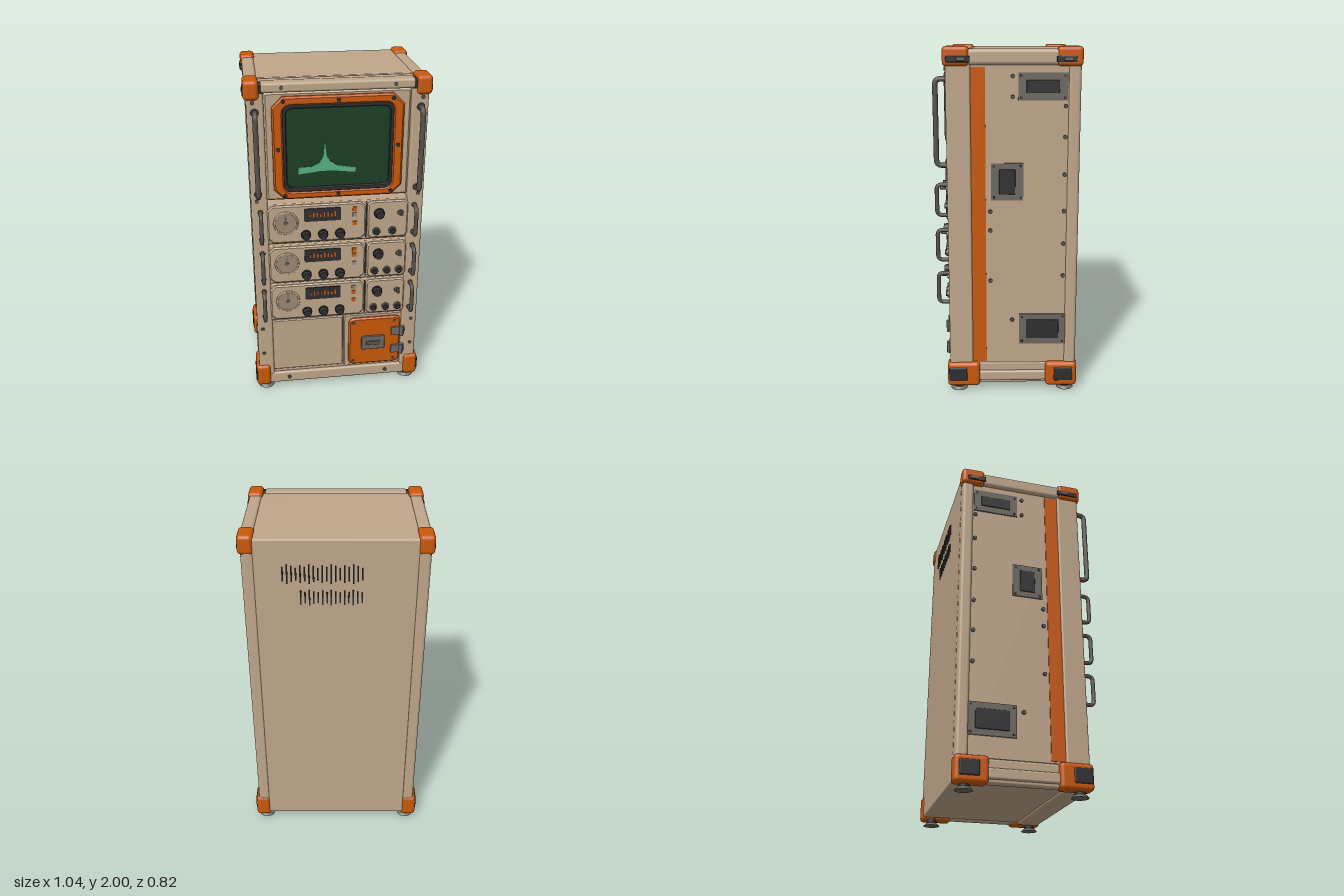
import * as THREE from 'three';
import { RoundedBoxGeometry } from 'three/addons/geometries/RoundedBoxGeometry.js';

const mat = (name, color) => {
  const m = new THREE.MeshStandardMaterial({ color });
  m.name = name;
  return m;
};

export function createModel() {
  const beige = mat('beige paint', 0xbfa68a), orange = mat('orange paint', 0xc9590a);
  const dark = mat('dark rubber', 0x2e2e30), grey = mat('grey metal', 0x6c6761);
  const steel = mat('handle metal', 0x57524d), tan = mat('dial tan', 0x9c8871);
  const green = mat('screen green', 0x1b3d24), glow = mat('trace green', 0x58b184);

  const root = new THREE.Group();
  const add = (name, geo, m, parent = root) => {
    const mesh = new THREE.Mesh(geo, m);
    mesh.name = name;
    parent.add(mesh);
    return mesh;
  };
  // box given by its limits, optionally with rounded edges
  const box = (name, m, x0, x1, y0, y1, z0, z1, r = 0, parent = root) => {
    const s = [Math.abs(x1 - x0), y1 - y0, z1 - z0];
    const g = r ? new RoundedBoxGeometry(...s, 3, r) : new THREE.BoxGeometry(...s);
    g.translate((x0 + x1) / 2, (y0 + y1) / 2, (z0 + z1) / 2);
    return add(name, g, m, parent);
  };
  // rectangle with rounded or chamfered corners
  const rect = (x0, x1, y0, y1, r, chamfer = false, s = new THREE.Shape()) => {
    const turn = (cx, cy, x, y) => (chamfer ? s.lineTo(x, y) : s.quadraticCurveTo(cx, cy, x, y));
    s.moveTo(x0 + r, y0);
    s.lineTo(x1 - r, y0); turn(x1, y0, x1, y0 + r);
    s.lineTo(x1, y1 - r); turn(x1, y1, x1 - r, y1);
    s.lineTo(x0 + r, y1); turn(x0, y1, x0, y1 - r);
    s.lineTo(x0, y0 + r); turn(x0, y0, x0 + r, y0);
    return s;
  };
  const plate = (name, m, shape, z0, z1, bevel = 0, parent = root) => {
    const g = new THREE.ExtrudeGeometry(shape, {
      depth: z1 - z0 - bevel, bevelEnabled: bevel > 0, bevelThickness: bevel,
      bevelSize: bevel, bevelOffset: -bevel, bevelSegments: 1, curveSegments: 6,
    });
    return add(name, g.translate(0, 0, z0), m, parent);
  };
  // disc or peg facing the front
  const peg = (name, m, x, y, z0, z1, r0, r1 = r0, n = 16, parent = root) =>
    add(name, new THREE.CylinderGeometry(r1, r0, z1 - z0, n).rotateX(Math.PI / 2)
      .translate(x, y, (z0 + z1) / 2), m, parent);
  const knob = (x, y, r, parent) => {
    peg('knobSkirt', dark, x, y, 0.338, 0.35, r, r, 20, parent);
    peg('knob', dark, x, y, 0.35, 0.375, r * 0.9, r * 0.75, 12, parent);
  };
  const connector = (x, y, parent) => {
    peg('connector', grey, x, y, 0.338, 0.352, 0.024, 0.024, 12, parent);
    peg('connectorSocket', dark, x, y, 0.35, 0.362, 0.017, 0.015, 12, parent);
  };
  // bar handle standing off the front
  const handle = (x, y0, y1, z0, r, parent) => {
    const v = (y, z) => new THREE.Vector3(x, y, z), z1 = 0.408 - r, c = 0.03, p = new THREE.CurvePath();
    p.add(new THREE.LineCurve3(v(y0, z0), v(y0, z1 - c)));
    p.add(new THREE.QuadraticBezierCurve3(v(y0, z1 - c), v(y0, z1), v(y0 + c, z1)));
    p.add(new THREE.LineCurve3(v(y0 + c, z1), v(y1 - c, z1)));
    p.add(new THREE.QuadraticBezierCurve3(v(y1 - c, z1), v(y1, z1), v(y1, z1 - c)));
    p.add(new THREE.LineCurve3(v(y1, z1 - c), v(y1, z0)));
    add('handle', new THREE.TubeGeometry(p, 48, r, 10), steel, parent);
    for (const y of [y0, y1]) peg('handleBase', steel, x, y, z0, z0 + 0.012, r * 1.6, r * 1.4, 14, parent);
  };

  // cabinet shell
  box('cabinet', beige, -0.475, 0.475, 0.05, 1.965, -0.39, 0.24);
  box('topPanel', beige, -0.435, 0.435, 1.95, 1.982, -0.4, 0.205, 0.006);
  box('topFrontRail', beige, -0.435, 0.435, 1.92, 1.98, 0.2, 0.278, 0.02);
  box('topFrontBar', beige, -0.42, 0.42, 1.93, 1.985, 0.26, 0.342, 0.015);
  box('bottomFrontBar', beige, -0.435, 0.435, 0.035, 0.11, 0.2, 0.335, 0.012);
  box('sill', beige, -0.41, 0.41, 0.1, 0.135, 0.2, 0.315);
  box('backPanel', beige, -0.435, 0.435, 0.05, 1.978, -0.402, -0.38, 0.006);

  for (const s of [-1, 1]) {
    const side = new THREE.Group();
    side.name = s > 0 ? 'leftSide' : 'rightSide';
    root.add(side);
    const b = (name, m, x0, x1, ...rest) => box(name, m, Math.min(s * x0, s * x1), Math.max(s * x0, s * x1), ...rest, side);
    b('sidePanel', beige, 0.46, 0.484, 0.17, 1.9, -0.34, 0.29, 0);
    b('sideStripe', orange, 0.482, 0.489, 0.18, 1.89, 0.12, 0.285, 0);
    b('frontPillar', beige, 0.405, 0.498, 0.1, 1.95, 0.2, 0.335, 0.012);
    b('backPillar', beige, 0.425, 0.498, 0.1, 1.95, -0.402, -0.335, 0.018);
    b('topSideRail', beige, 0.43, 0.505, 1.9, 1.985, -0.36, 0.3, 0.02);
    b('bottomSideRail', beige, 0.43, 0.485, 0.04, 0.17, -0.34, 0.28, 0.012);
    b('bottomSideGrip', beige, 0.44, 0.5, 0.06, 0.12, -0.23, 0.17, 0.012);
    b('topBarCap', dark, 0.405, 0.433, 1.925, 1.98, 0.27, 0.336, 0.006);

    // corner protectors with rubber inserts
    for (const [z0, z1] of [[0.205, 0.35], [-0.41, -0.27]]) {
      const f = z0 > 0;
      b('topCorner', orange, 0.428, 0.513, 1.893, 2.0, z0, z1, 0.022);
      b('topCornerSlot', dark, 0.505, 0.517, 1.915, 1.948, f ? 0.2 : -0.375, f ? 0.33 : -0.265, 0.004);
      b('topCornerClip', grey, 0.508, 0.52, 1.922, 1.942, f ? 0.225 : -0.355, f ? 0.275 : -0.305, 0.004);
      b('bottomCorner', orange, 0.428, 0.516, 0.03, 0.178, f ? 0.16 : -0.41, f ? 0.35 : -0.225, 0.022);
      b('bottomCornerPad', dark, 0.5, 0.521, 0.065, 0.15, f ? 0.235 : -0.385, f ? 0.342 : -0.275, 0.008);
      const z = f ? 0.285 : -0.345;
      add('foot', new THREE.CylinderGeometry(0.035, 0.05, 0.016, 20).translate(s * 0.455, 0.008, z), grey, side);
      add('footStem', new THREE.CylinderGeometry(0.03, 0.03, 0.03, 16).translate(s * 0.455, 0.028, z), dark, side);
    }
    // grey service plates
    for (const [y0, y1, z0, z1, iy, iz] of [[1.71, 1.86, -0.33, -0.06, 0.04, 0.045],
      [1.155, 1.365, -0.09, 0.09, 0.035, 0.045], [0.29, 0.475, -0.34, -0.07, 0.035, 0.04]]) {
      b('servicePlate', grey, 0.482, 0.491, y0, y1, z0, z1, 0);
      b('serviceRecess', dark, 0.488, 0.495, y0 + iy, y1 - iy, z0 + iz, z1 - iz, 0.003);
      for (const y of [y0 + 0.016, y1 - 0.016]) for (const z of [z0 + 0.016, z1 - 0.016])
        b('plateScrew', dark, 0.49, 0.494, y - 0.006, y + 0.006, z - 0.006, z + 0.006, 0);
    }
    // side screws
    for (const [z, ys] of [[-0.32, [1.68, 1.51, 1.3, 1.09, 0.9, 0.71]], [0.095, [1.09, 0.98, 0.68]],
      [0.265, [1.86, 1.63, 1.35, 1.03, 0.75, 0.51]], [-0.03, [1.84, 1.73, 0.44]]])
      for (const y of ys)
        add('sideScrew', new THREE.CylinderGeometry(0.012, 0.012, 0.014, 8).rotateZ(Math.PI / 2)
          .translate(s * 0.487, y, z), steel, side);
    // front screws
    for (const y of [1.88, 1.31, 0.45, 0.27]) peg('frontScrew', steel, s * 0.465, y, 0.332, 0.342, 0.011, 0.011, 8, side);
    for (const y of [1.957, 0.075]) peg('railScrew', steel, s * 0.31, y, 0.33, 0.346, 0.011, 0.011, 8, side);
    handle(s * 0.455, 1.35, 1.825, 0.33, 0.015, side);
  }

  // display section
  plate('displayPanel', beige, rect(-0.405, 0.405, 1.3, 1.925, 0.015), 0.23, 0.312, 0.01);
  const ring = rect(-0.365, 0.365, 1.31, 1.905, 0.06, true);
  ring.holes.push(rect(-0.305, 0.305, 1.355, 1.855, 0.05, false, new THREE.Path()));
  plate('displayRing', orange, ring, 0.305, 0.335, 0.01);
  const bezel = rect(-0.31, 0.31, 1.35, 1.86, 0.05);
  bezel.holes.push(rect(-0.288, 0.288, 1.378, 1.838, 0.04, false, new THREE.Path()));
  plate('displayBezel', dark, bezel, 0.305, 0.33, 0.004);
  plate('displayScreen', green, rect(-0.295, 0.295, 1.37, 1.845, 0.03), 0.309, 0.318);
  const trace = new THREE.Shape([[-0.225, 1.455], [-0.1, 1.47], [-0.03, 1.47], [0.1, 1.455], [0.1, 1.482],
    [-0.005, 1.5], [-0.045, 1.525], [-0.065, 1.56], [-0.075, 1.64], [-0.083, 1.56], [-0.105, 1.52],
    [-0.15, 1.498], [-0.225, 1.495]].map(p => new THREE.Vector2(...p)));
  plate('screenTrace', glow, trace, 0.317, 0.321);
  for (const x of [-0.335, 0, 0.335]) for (const y of [1.335, 1.61, 1.88])
    if (x || y !== 1.61) peg('ringScrew', dark, x * (y === 1.61 ? 1 : 0.9), y, 0.33, 0.341, 0.012, 0.012, 8);

  // three instrument modules
  [1.155, 0.89, 0.632].forEach((yc, i) => {
    const m = new THREE.Group();
    m.name = 'instrumentModule';
    root.add(m);
    box('moduleChassis', beige, -0.468, 0.468, yc - 0.126, yc + 0.126, 0.22, 0.328, 0.006, m);
    plate('mainFascia', beige, rect(-0.41, 0.162, yc - 0.118, yc + 0.118, 0.03, true), 0.32, 0.34, 0.008, m);
    plate('sideFascia', beige, rect(0.172, 0.412, yc - 0.118, yc + 0.118, 0.02, true), 0.32, 0.34, 0.008, m);
    box('fasciaGap', dark, 0.162, 0.17, yc - 0.115, yc + 0.115, 0.325, 0.331, 0, m);
    box('moduleGap', dark, -0.465, 0.465, yc - 0.134, yc - 0.126, 0.22, 0.31, 0, m);
    // dial
    peg('dialFace', tan, -0.305, yc + 0.01, 0.338, 0.343, 0.065, 0.065, 28, m);
    add('dialRim', new THREE.TorusGeometry(0.067, 0.006, 6, 28).translate(-0.305, yc + 0.01, 0.341), beige, m);
    peg('dialHub', grey, -0.305, yc + 0.01, 0.342, 0.348, 0.012, 0.01, 12, m);
    box('dialNeedle', grey, -0.308, -0.302, yc + 0.015, yc + 0.065, 0.342, 0.346, 0, m);
    // readout with lit bars
    plate('readout', dark, rect(-0.2, 0.015, yc + 0.015, yc + 0.095, 0.01), 0.338, 0.346, 0, m);
    for (let k = 0; k < 8; k++)
      box('readoutBar', orange, -0.17 + k * 0.021, -0.162 + k * 0.021, yc + 0.042, yc + 0.062 + (k * 5 % 3) * 0.006, 0.345, 0.348, 0, m);
    [0.08, 0.045, -0.01].forEach((dy, k) =>
      box('indicator', k === (i + 1) % 3 ? tan : orange, 0.083, 0.108, yc + dy - 0.012, yc + dy + 0.012, 0.338, 0.346, 0, m));
    for (const x of [-0.19, -0.09, 0.01]) knob(x, yc - 0.07, 0.03, m);
    knob(0.24, yc + 0.042, 0.032, m);
    peg('switchNut', grey, 0.365, yc + 0.04, 0.338, 0.35, 0.02, 0.018, 6, m);
    peg('switchLever', steel, 0.365, yc + 0.045, 0.35, 0.382, 0.007, 0.01, 8, m);
    for (const x of i === 0 ? [0.225, 0.32] : [0.22, 0.295, 0.37]) connector(x, yc - 0.072, m);
    for (const s of [-1, 1]) {
      handle(s * 0.447, yc - 0.093, yc + 0.083, 0.325, 0.012, m);
      for (const dy of [-0.112, 0.112]) peg('earScrew', steel, s * 0.425, yc + dy, 0.325, 0.334, 0.009, 0.009, 8, m);
    }
  });

  // open bay with cabling
  const bay = rect(-0.41, 0.035, 0.13, 0.497, 0.01);
  bay.holes.push(rect(-0.4, 0.0, 0.165, 0.462, 0.015, false, new THREE.Path()));
  plate('bayFrame', beige, bay, 0.23, 0.325, 0.006);
  box('bayBack', dark, -0.405, 0.01, 0.155, 0.47, 0.235, 0.247);
  for (let k = 0; k < 5; k++) {
    const y = 0.2 + k * 0.035;
    const c = new THREE.CatmullRomCurve3([[-0.39, y, 0.25], [-0.25, y + 0.04 - k * 0.012, 0.28],
      [-0.12, y - 0.02 + k * 0.012, 0.275], [-0.01, y + 0.05, 0.25]].map(p => new THREE.Vector3(...p)));
    add('cable', new THREE.TubeGeometry(c, 24, 0.007, 8), k % 2 ? steel : dark);
  }
  box('bayBracket', steel, -0.16, -0.03, 0.18, 0.23, 0.245, 0.265);

  // access door
  plate('doorSurround', beige, rect(0.04, 0.41, 0.115, 0.497, 0.012), 0.23, 0.32, 0.006);
  plate('accessDoor', orange, rect(0.07, 0.4, 0.13, 0.475, 0.04), 0.31, 0.338, 0.01);
  plate('doorLatch', grey, rect(0.15, 0.3, 0.245, 0.345, 0.015), 0.336, 0.346, 0.003);
  box('latchLever', steel, 0.18, 0.27, 0.28, 0.31, 0.344, 0.354, 0.004);
  for (const y of [0.37, 0.235]) {
    box('hingeLeaf', grey, 0.34, 0.425, y - 0.03, y + 0.03, 0.325, 0.347, 0.004);
    add('hingePin', new THREE.CylinderGeometry(0.012, 0.012, 0.07, 10).translate(0.405, y, 0.347), grey);
  }
  for (const x of [0.1, 0.36]) for (const y of [0.16, 0.445]) peg('doorScrew', steel, x, y, 0.335, 0.343, 0.01, 0.01, 8);

  // uneven vent slots on the back
  for (const [x0, n, y, h] of [[-0.14, 19, 1.785, 0.11], [-0.14, 15, 1.645, 0.09]])
    for (let k = 0; k < n; k++) {
      const x = x0 + k * 0.0235, l = h * (0.65 + 0.35 * ((k * 7) % 5) / 4);
      box('ventSlot', dark, x - 0.004, x + 0.004, y - l / 2, y + l / 2, -0.408, -0.4);
    }
  return root;
}
